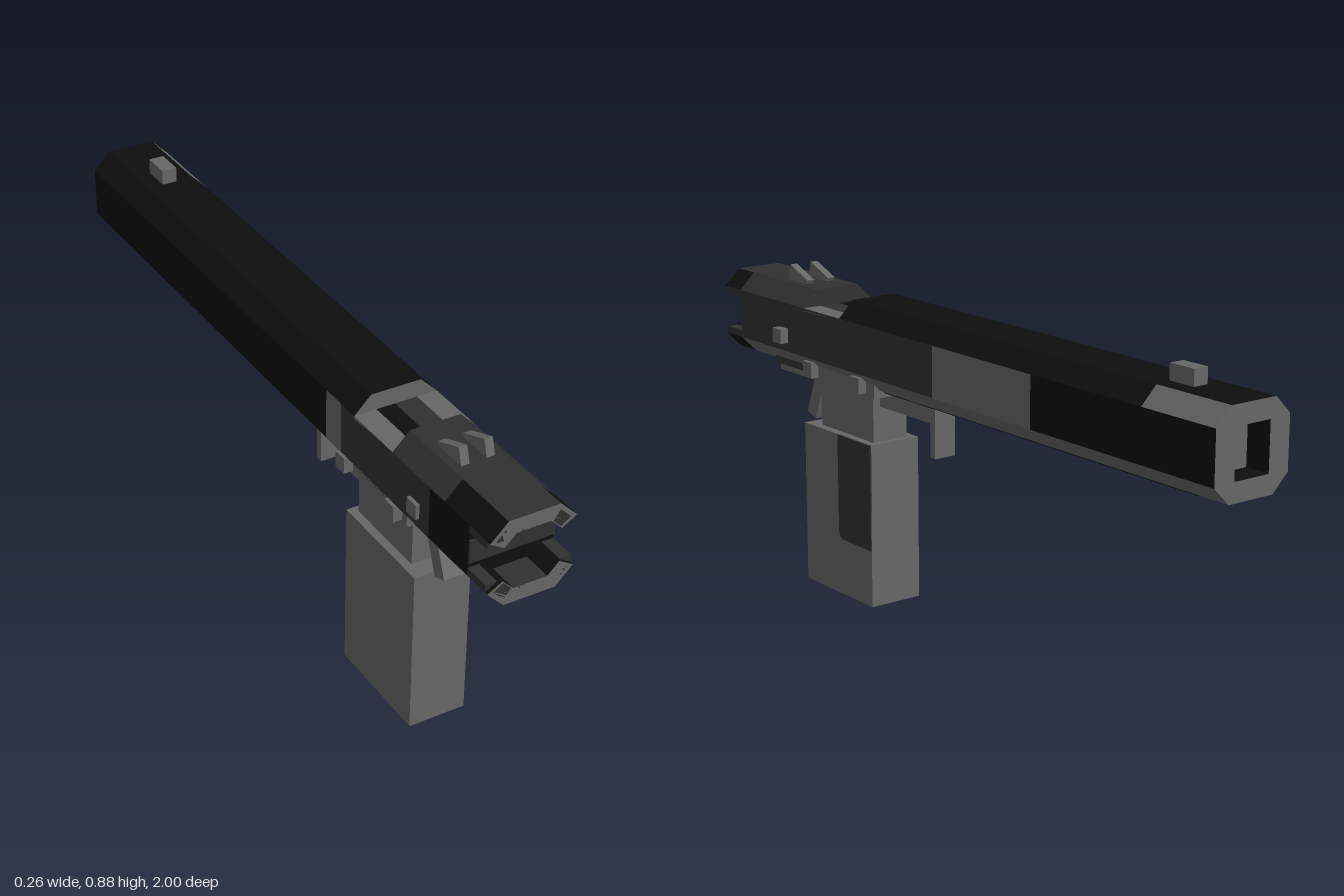
import * as THREE from 'three';

const mat = (name, color, side = THREE.FrontSide) => {
  const m = new THREE.MeshStandardMaterial({ color, side });
  m.name = name;
  return m;
};

export function createModel() {
  const grey = mat('grey', 0x666666);
  const dark = mat('darkGrey', 0x303030);
  const black = mat('black', 0x0e0e0e);
  const model = new THREE.Group();

  const add = (name, geo, material) => {
    const mesh = new THREE.Mesh(geo, material);
    mesh.name = name;
    model.add(mesh);
    return mesh;
  };
  // box from its limits on each axis
  const box = (name, m, x0, x1, y0, y1, z0, z1) => {
    const b = add(name, new THREE.BoxGeometry(x1 - x0, y1 - y0, z1 - z0), m);
    b.position.set((x0 + x1) / 2, (y0 + y1) / 2, (z0 + z1) / 2);
    return b;
  };
  const shapeOf = pts => new THREE.Shape(pts.map(p => new THREE.Vector2(p[0], p[1])));
  // flat cap facing +z or -z
  const cap = (name, m, shape, z, dir) => {
    const g = new THREE.ShapeGeometry(shape);
    if (dir < 0) g.index.array.reverse();
    g.translate(0, 0, z);
    g.computeVertexNormals();
    return add(name, g, m);
  };
  // side profile given as (z, y), extruded across x
  const profile = (name, m, pts, x0, x1) => {
    const g = new THREE.ExtrudeGeometry(shapeOf(pts.map(([z, y]) => [-z, y])),
      { depth: x1 - x0, bevelEnabled: false });
    g.rotateY(Math.PI / 2);
    g.translate(x0, 0, 0);
    return add(name, g, m);
  };

  // octagonal body section, counter-clockwise seen from the front
  const oct = [[0.105, 0.655], [0.105, 0.79], [0.06, 0.835], [-0.075, 0.835],
    [-0.12, 0.79], [-0.12, 0.655], [-0.075, 0.61], [0.06, 0.61]];
  const panel = (name, m, a, b, z0, z1) => {
    const g = new THREE.BufferGeometry();
    g.setAttribute('position', new THREE.Float32BufferAttribute(
      [...a, z1, ...a, z0, ...b, z0, ...b, z1], 3));
    g.setIndex([0, 1, 2, 0, 2, 3]);
    g.computeVertexNormals();
    return add(name, g, m);
  };

  // body skin: for each side, colour changes along z
  const F = 0.92;
  const skin = [
    ['rightFacePanel', [[-1, -0.37, black], [-0.37, 0.02, grey], [0.02, F, dark]]],
    ['upperChamfer', [[-1, -0.76, grey], [-0.76, 0.43, black], [0.6, F, dark]]],
    ['topPanel', [[-1, 0.43, black], [0.6, F, dark]]],
    ['upperChamfer', [[-1, 0.43, black], [0.6, 0.82, dark], [0.82, F, black]]],
    ['sidePanel', [[-1, 0.3, black], [0.3, 0.37, grey], [0.37, 0.76, dark], [0.76, F, black]]],
    ['lowerChamfer', [[-1, F, grey]]],
    ['bottomPanel', [[-1, F, grey]]],
    ['lowerChamfer', [[-1, F, grey]]],
  ];
  skin.forEach(([name, runs], i) => runs.forEach(([z0, z1, m]) =>
    panel(name, m, oct[i], oct[(i + 1) % 8], z0, z1)));
  box('bottomSlot', black, 0.005, 0.055, 0.606, 0.611, -0.9, 0.3);

  // rear end with a square recess
  const hole = [[0.045, 0.66], [0.045, 0.785], [-0.06, 0.785], [-0.06, 0.66]];
  const ring = shapeOf(oct);
  ring.holes.push(new THREE.Path(hole.map(p => new THREE.Vector2(...p))));
  cap('rearRing', grey, ring, -1, -1);
  hole.forEach((p, i) => panel('rearRecessWall', black, hole[(i + 1) % 4], p, -1, -0.93));
  cap('rearRecessFloor', grey, shapeOf(hole), -0.93, -1);

  // cut-out between the rear cover and the front cover
  const coverEnd = shapeOf(oct.slice(1, 5));
  cap('rearCoverEnd', grey, coverEnd, 0.43, 1);
  cap('frontCoverEnd', dark, coverEnd, 0.6, -1);
  [[-0.12, -0.06, grey], [-0.06, -0.01, black], [-0.01, 0.05, dark], [0.05, 0.105, grey]]
    .forEach(([x0, x1, m]) => box('cutoutFloor', m, x0, x1, 0.782, 0.79, 0.43, 0.6));

  // muzzle: inner wall, colour bands and a ring open at both sides
  cap('muzzleWall', black, shapeOf(oct), F, 1);
  box('muzzleBand', dark, -0.12, 0.105, 0.69, 0.75, F, F + 0.006);
  box('muzzleUpperBand', grey, -0.075, 0.06, 0.75, 0.79, F, F + 0.006);
  const inner = oct.map(([x, y]) => [-0.0075 + (x + 0.0075) * 0.66, 0.7225 + (y - 0.7225) * 0.66]);
  const mix = (a, b, t) => [a[0] + (b[0] - a[0]) * t, a[1] + (b[1] - a[1]) * t];
  [1, 2, 3, 5, 6, 7].forEach(i => {
    const j = (i + 1) % 8;
    const flat = i % 4 === 2;
    const g = new THREE.ExtrudeGeometry(shapeOf([oct[i], oct[j], inner[j], inner[i]]),
      { depth: 1 - F, bevelEnabled: false });
    g.translate(0, 0, F);
    add('muzzleRing', g, [grey, flat ? dark : black]);
    // dark inset on the front of each ring segment
    const s = flat ? 0.62 : 0.25;
    const q = [mix(oct[i], inner[i], s), mix(oct[j], inner[j], s),
      mix(oct[j], inner[j], 0.95), mix(oct[i], inner[i], 0.95)];
    const c = [mix(q[0], q[1], 0.15), mix(q[0], q[1], 0.85),
      mix(q[3], q[2], 0.85), mix(q[3], q[2], 0.15)];
    cap('muzzleInset', flat ? black : dark, shapeOf(c), 0.9995, 1).position.z = 0.0005;
  });
  // short cheeks above and below the side openings
  [[0.655, 0.675], [0.77, 0.79]].forEach(([y0, y1]) => {
    box('muzzleCheek', dark, 0.075, 0.105, y0, y1, F, 0.99);
    box('muzzleCheek', dark, -0.12, -0.09, y0, y1, F, 0.99);
  });

  // sights
  [[-0.052, -0.03], [0.015, 0.037]].forEach(([x0, x1]) =>
    profile('frontSight', grey, [[0.69, 0.825], [0.78, 0.825], [0.765, 0.878], [0.68, 0.845]], x0, x1));
  box('rearSight', grey, -0.03, 0.012, 0.83, 0.876, -0.83, -0.75);

  // side knobs and mount pins
  box('sideKnob', grey, 0.1, 0.13, 0.68, 0.72, 0.68, 0.72);
  box('sideKnob', grey, -0.13, -0.115, 0.68, 0.72, 0.68, 0.72);
  [[0.57, 0.61], [0.345, 0.385]].forEach(([z0, z1]) => {
    box('mountPin', grey, 0.07, 0.105, 0.6, 0.643, z0, z1);
    box('mountPin', grey, -0.12, -0.085, 0.6, 0.643, z0, z1);
  });

  // mount, rails and trigger
  box('mount', grey, -0.095, 0.08, 0.59, 0.65, 0.31, 0.63);
  box('frontRail', grey, -0.062, 0.048, 0.575, 0.612, 0.6, 0.81);
  box('frontRailTop', dark, -0.08, 0.07, 0.6, 0.625, 0.64, 0.8);
  profile('trigger', grey, [[0.62, 0.59], [0.672, 0.455], [0.712, 0.47], [0.665, 0.59]], -0.04, 0.025);
  box('rearBar', grey, -0.04, 0.025, 0.552, 0.595, 0.115, 0.37);
  box('rearHook', grey, -0.04, 0.025, 0.46, 0.56, 0.115, 0.136);

  // neck and grip
  box('neck', grey, -0.062, 0.048, 0.45, 0.655, 0.36, 0.605);
  box('grip', grey, -0.085, 0.072, 0, 0.455, 0.34, 0.655);
  profile('gripPanel', dark, [[0.34, 0.455], [0.34, 0.16], [0.47, 0.16], [0.485, 0.166],
    [0.492, 0.18], [0.492, 0.455]], 0.07, 0.075);

  return model;
}
